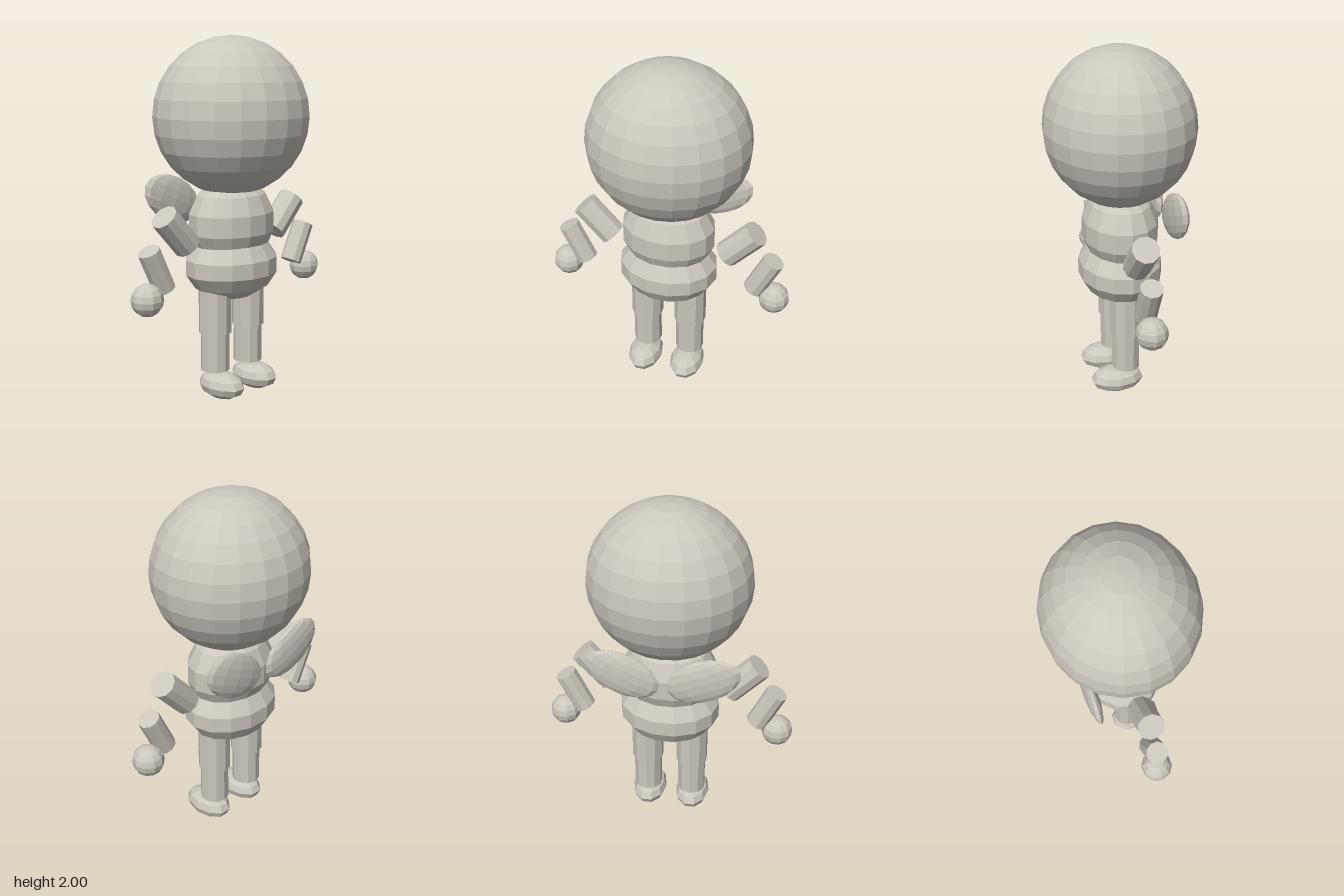
import * as THREE from 'three';

export function createModel() {
  const model = new THREE.Group();
  const clay = new THREE.MeshStandardMaterial({ color: 0xcbc7bd, flatShading: true });
  clay.name = 'warm grey clay';

  const add = (name, geometry, x, y, z, tilt = 0) => {
    const mesh = new THREE.Mesh(geometry, clay);
    mesh.name = name;
    mesh.position.set(x, y, z);
    mesh.rotation.z = tilt;
    model.add(mesh);
    return mesh;
  };
  // Faceted ellipsoid with the given half sizes
  const ellipsoid = (rx, ry, rz, around, rings) =>
    new THREE.SphereGeometry(1, around, rings).scale(rx, ry, rz);
  const limb = (radius, length) => new THREE.CylinderGeometry(radius, radius, length, 10);

  // Head and two-part body
  add('head', ellipsoid(0.446, 0.435, 0.415, 20, 14), 0, 1.565, 0);
  add('chest', ellipsoid(0.27, 0.25, 0.215, 14, 7), 0, 0.98, 0);
  add('belly', ellipsoid(0.288, 0.195, 0.238, 14, 7), 0, 0.738, 0);

  for (const [side, s] of [['left', 1], ['right', -1]]) {
    // Wings behind the shoulders, tilted up and outwards
    add(side + 'Wing', ellipsoid(0.212, 0.126, 0.038, 12, 8), s * 0.218, 1.104, -0.25, s * 0.43);

    // Arms: separate segments leaning outwards
    add(side + 'UpperArm', limb(0.076, 0.24), s * 0.415, 0.975, 0, -s * 0.75);
    add(side + 'Forearm', limb(0.062, 0.24), s * 0.55, 0.788, 0, -s * 0.45);
    add(side + 'Hand', ellipsoid(0.088, 0.088, 0.088, 10, 8), s * 0.616, 0.64, 0);

    // Legs and feet
    add(side + 'Thigh', limb(0.092, 0.29), s * 0.13, 0.515, 0);
    add(side + 'Shin', limb(0.081, 0.225), s * 0.13, 0.267, 0);
    add(side + 'Foot', ellipsoid(0.1, 0.076, 0.153, 10, 6), s * 0.13, 0.077, 0.052);
  }
  return model;
}
